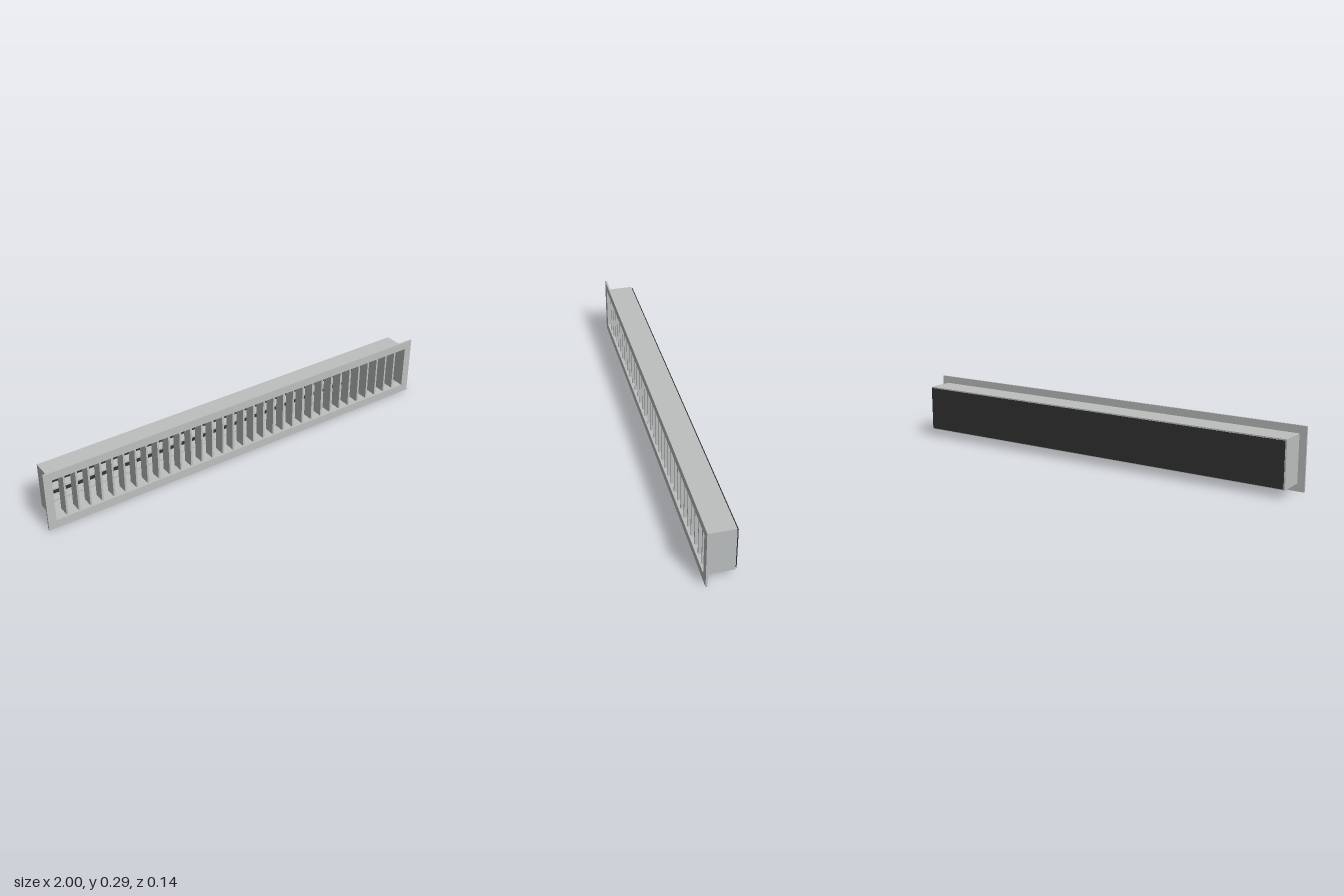
import * as THREE from 'three';

const MID_Y = 0.143;

// Rectangular ring with a rectangular hole, extruded from z0 to z1
function ring(w, h, holeW, holeH, z0, z1) {
  const rect = (Type, a, b) => new Type([
    new THREE.Vector2(-a / 2, -b / 2), new THREE.Vector2(a / 2, -b / 2),
    new THREE.Vector2(a / 2, b / 2), new THREE.Vector2(-a / 2, b / 2),
  ]);
  const shape = rect(THREE.Shape, w, h);
  shape.holes.push(rect(THREE.Path, holeW, holeH));
  const geo = new THREE.ExtrudeGeometry(shape, { depth: z1 - z0, bevelEnabled: false });
  return geo.translate(0, MID_Y, z0);
}

export function createModel() {
  const metal = new THREE.MeshStandardMaterial({ color: 0xbcc0bf });
  metal.name = 'satin grey metal';
  const dark = new THREE.MeshStandardMaterial({ color: 0x333333 });
  dark.name = 'dark backing';

  const model = new THREE.Group();
  model.name = 'ventGrille';
  const add = (name, geo, mat, parent = model) => {
    const mesh = new THREE.Mesh(geo, mat);
    mesh.name = name;
    parent.add(mesh);
    return mesh;
  };

  const openW = 1.924, openH = 0.207;

  // Face flange and the duct collar behind it
  add('faceFrame', ring(2, 0.286, openW, openH, 0.061, 0.069), metal);
  add('ductCollar', ring(1.934, 0.217, openW, openH, -0.063, 0.061), metal);

  // Upright blades just behind the face
  const blades = new THREE.Group();
  blades.name = 'verticalBlades';
  model.add(blades);
  const cells = 34;
  const bladeGeo = new THREE.BoxGeometry(0.009, openH, 0.052);
  for (let i = 1; i < cells; i++) {
    add('verticalBlade', bladeGeo, metal, blades)
      .position.set(-openW / 2 + (i * openW) / cells, MID_Y, 0.034);
  }

  // Cross bars deeper in the duct
  const bars = new THREE.Group();
  bars.name = 'horizontalBars';
  model.add(bars);
  const barGeo = new THREE.BoxGeometry(openW, 0.008, 0.042);
  for (const dy of [-0.06, 0, 0.06]) {
    add('horizontalBar', barGeo, metal, bars).position.set(0, MID_Y + dy, -0.024);
  }

  // Dark plate closing the back, with a small gap
  add('backPlate', new THREE.BoxGeometry(openW, openH, 0.003), dark)
    .position.set(0, MID_Y, -0.0675);

  return model;
}
